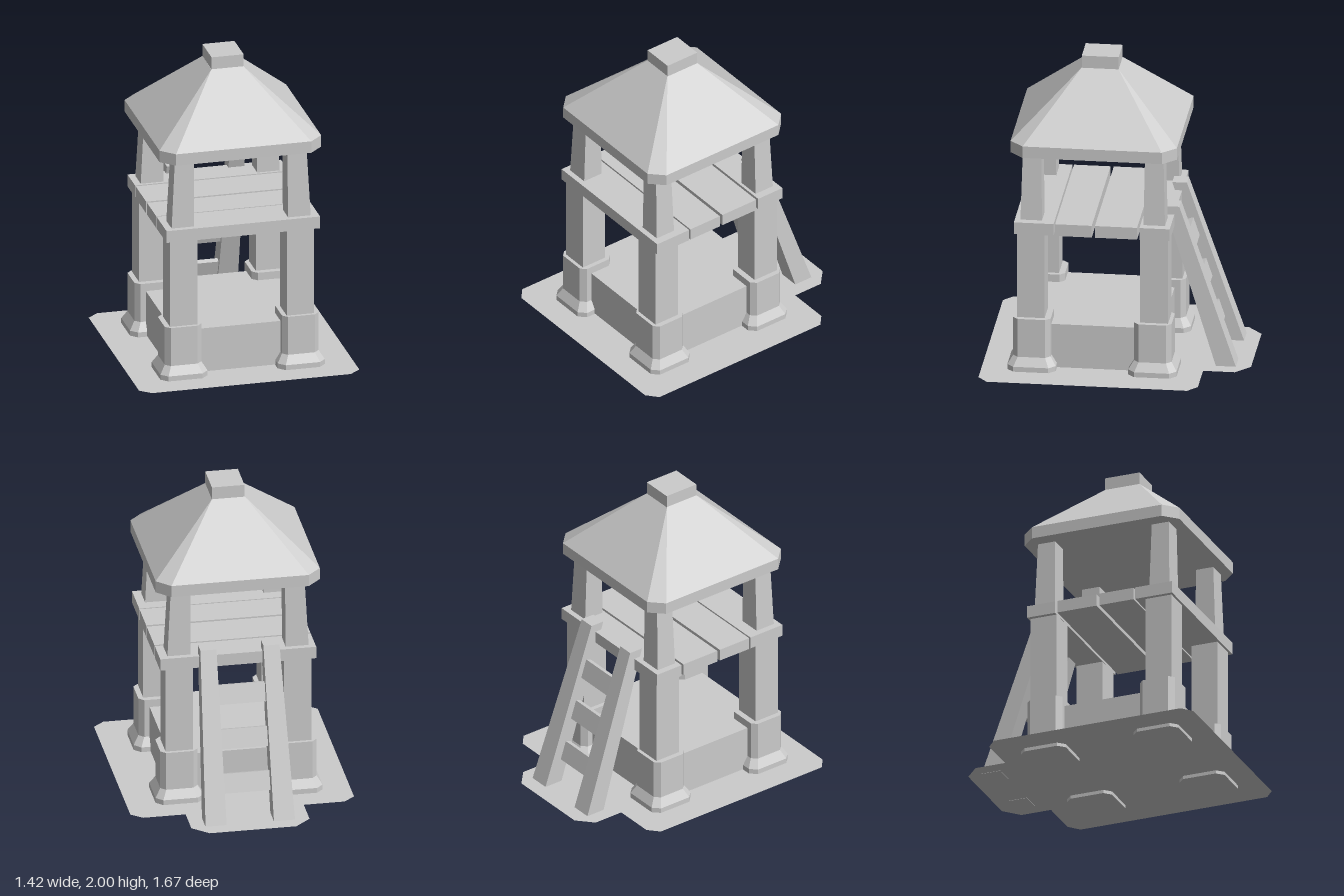
import * as THREE from 'three';

const material = new THREE.MeshStandardMaterial({ color: 0xcccccc, flatShading: true });
const plateMaterial = new THREE.MeshStandardMaterial({ color: 0xcccccc, flatShading: true, side: THREE.DoubleSide });

// Tower axis
const CX = -0.005;
const CZ = 0.135;

// One rectangular cross-section with corners cut by c
function ring({ y, x = 0, z = 0, hx, hz = hx, c = 0 }) {
  return [
    [hx, hz - c], [hx, c - hz], [hx - c, -hz], [c - hx, -hz],
    [-hx, c - hz], [-hx, hz - c], [c - hx, hz], [hx - c, hz],
  ].map(([px, pz]) => new THREE.Vector3(x + px, y, z + pz));
}

// Closed, flat-faced solid through cross-sections listed from bottom to top
function loft(sections) {
  const rings = sections.map(ring);
  const points = [];
  const tri = (a, b, c) => {
    if (new THREE.Triangle(a, b, c).getArea() > 1e-8) points.push(a, b, c);
  };
  for (let k = 0; k < rings.length - 1; k++) {
    for (let i = 0; i < 8; i++) {
      const j = (i + 1) % 8;
      const [lo, hi] = [rings[k], rings[k + 1]];
      tri(lo[i], lo[j], hi[j]);
      tri(lo[i], hi[j], hi[i]);
    }
  }
  const [bottom, top] = [rings[0], rings[rings.length - 1]];
  for (let i = 1; i < 7; i++) {
    tri(top[0], top[i], top[i + 1]);
    tri(bottom[0], bottom[i + 1], bottom[i]);
  }
  const geometry = new THREE.BufferGeometry().setFromPoints(points);
  geometry.computeVertexNormals();
  return geometry;
}

function part(parent, name, geometry, mat = material) {
  const mesh = new THREE.Mesh(geometry, mat);
  mesh.name = name;
  parent.add(mesh);
  return mesh;
}

// Box given by its limits on each axis
function box(parent, name, x0, x1, y0, y1, z0, z1) {
  const mesh = part(parent, name, new THREE.BoxGeometry(x1 - x0, y1 - y0, z1 - z0));
  mesh.position.set((x0 + x1) / 2, (y0 + y1) / 2, (z0 + z1) / 2);
  return mesh;
}

// Thin ground sheet with a tab for the ladder
function addGround(parent) {
  const outline = [
    [-0.64, 0.83], [0.64, 0.83], [0.71, 0.77], [0.71, -0.49], [0.64, -0.55], [0.37, -0.55],
    [0.37, -0.75], [0.27, -0.84], [-0.28, -0.84], [-0.38, -0.75], [-0.38, -0.55],
    [-0.64, -0.55], [-0.71, -0.49], [-0.71, 0.77],
  ].map(([x, z]) => new THREE.Vector2(x, -z));
  const geometry = new THREE.ShapeGeometry(new THREE.Shape(outline));
  geometry.rotateX(-Math.PI / 2).translate(0, 0.022, 0);
  part(parent, 'groundPlate', geometry, plateMaterial);
}

// Corner post: flared foot with block, square shaft, tapered upper post
function addPost(parent, sx, sz) {
  const post = new THREE.Group();
  post.name = (sz > 0 ? 'front' : 'back') + (sx > 0 ? 'Left' : 'Right') + 'Post';
  const at = (dx, dz) => ({ x: CX + sx * dx, z: CZ + sz * dz });
  const foot = at(0.378, 0.38);
  part(post, 'foot', loft([
    { ...foot, y: 0, hx: 0.152, c: 0.042 },
    { ...foot, y: 0.055, hx: 0.152, c: 0.042 },
    { ...foot, y: 0.11, hx: 0.118, c: 0.032 },
    { ...foot, y: 0.365, hx: 0.118, c: 0.032 },
  ]));
  const shaft = at(0.376, 0.388);
  part(post, 'shaft', loft([
    { ...shaft, y: 0.3, hx: 0.0875 },
    { ...shaft, y: 0.95, hx: 0.0875 },
  ]));
  part(post, 'upperPost', loft([
    { ...at(0.376, 0.387), y: 1.0, hx: 0.073, hz: 0.068 },
    { ...at(0.362, 0.384), y: 1.48, hx: 0.062, hz: 0.058 },
  ]));
  parent.add(post);
}

// Leaning ladder at the back
function addLadder(parent) {
  const ladder = new THREE.Group();
  ladder.name = 'ladder';
  for (const s of [-1, 1]) {
    part(ladder, s > 0 ? 'leftRail' : 'rightRail', loft([
      { y: 0.02, x: CX + s * 0.217, z: -0.683, hx: 0.067, hz: 0.063 },
      { y: 1.07, x: CX + s * 0.2, z: -0.34, hx: 0.051, hz: 0.046 },
    ]));
  }
  for (let i = 0; i < 3; i++) {
    const rung = part(ladder, 'rung', new THREE.BoxGeometry(0.32, 0.125, 0.035));
    rung.position.set(CX, 0.235 + i * 0.27, -0.59 + i * 0.08);
    rung.rotation.x = 0.32;
  }
  parent.add(ladder);
}

export function createModel() {
  const model = new THREE.Group();
  model.name = 'watchtower';

  addGround(model);
  box(model, 'stoneBase', CX - 0.43, CX + 0.43, 0.025, 0.315, CZ - 0.43, CZ + 0.43);
  for (const sx of [-1, 1]) for (const sz of [-1, 1]) addPost(model, sx, sz);

  // Platform planks with narrow gaps
  const planks = [[0.375, 0.625], [0.135, 0.365], [-0.15, 0.115], [-0.355, -0.165]];
  for (const [z0, z1] of planks) box(model, 'platformPlank', -0.495, 0.495, 0.938, 1.017, z0, z1);

  // Hipped roof with cut corners and a square cap
  const axis = { x: CX, z: 0.13 };
  part(model, 'roof', loft([
    { ...axis, y: 1.463, hx: 0.521, hz: 0.523, c: 0.085 },
    { ...axis, y: 1.54, hx: 0.521, hz: 0.523, c: 0.085 },
    { ...axis, y: 1.92, hx: 0.103, hz: 0.115 },
  ]));
  box(model, 'roofCap', -0.107, 0.1, 1.91, 2, 0.013, 0.245);

  addLadder(model);
  return model;
}
